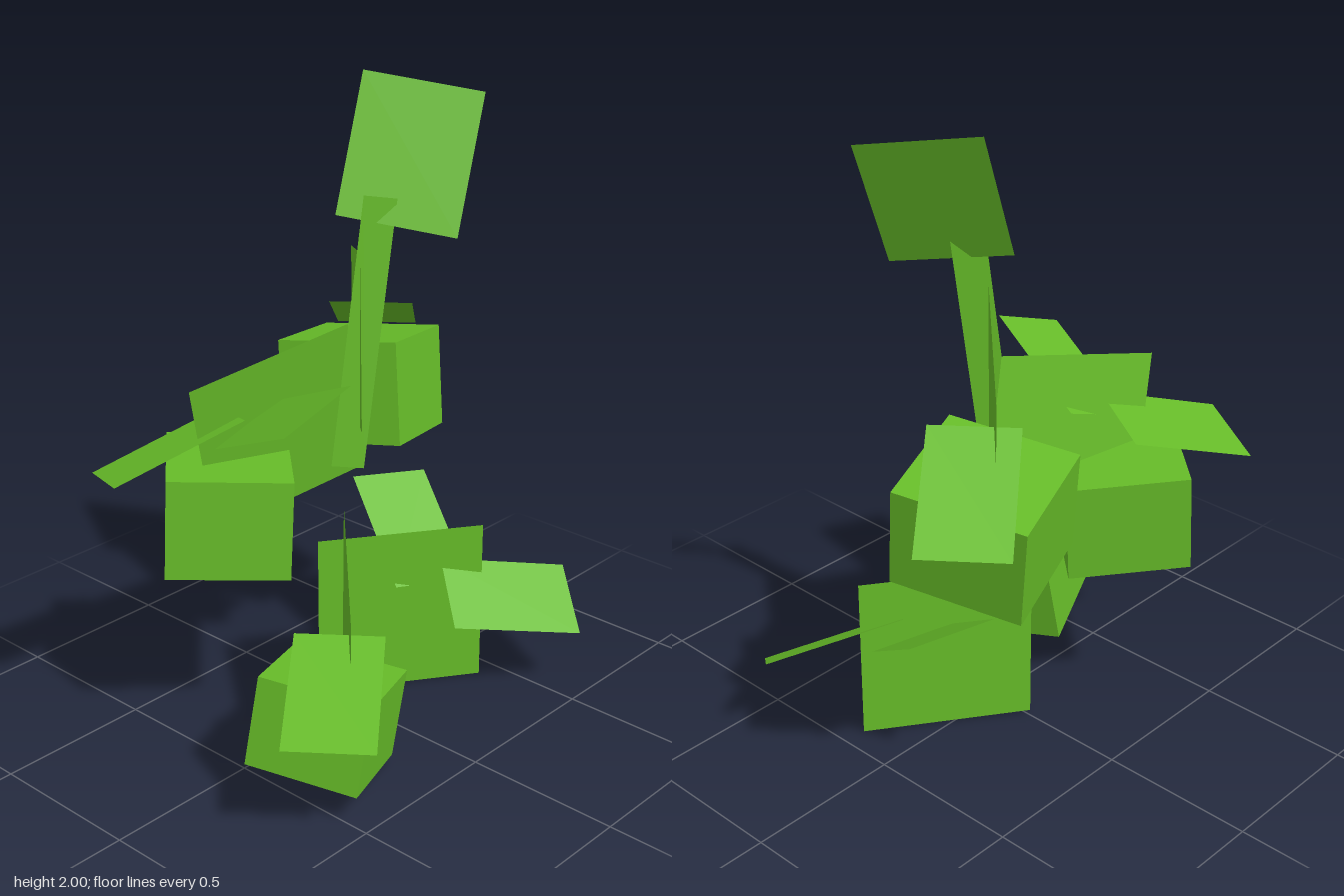
import * as THREE from 'three';

const leafGreen = new THREE.MeshStandardMaterial({ color: 0x66bb28, side: THREE.DoubleSide });
leafGreen.name = 'leafGreen';

const vec = (p) => new THREE.Vector3(...p);

// Flat rectangle from three corners: the middle one joins its two edges
function plate(name, a, corner, b) {
  const u = vec(a).sub(vec(corner));
  const v = vec(b).sub(vec(corner));
  const n = u.clone().cross(v).normalize();
  const centre = vec(a).add(vec(b)).multiplyScalar(0.5);
  const geometry = new THREE.PlaneGeometry(1, 1);
  geometry.applyMatrix4(new THREE.Matrix4().makeBasis(u, v, n).setPosition(centre));
  const mesh = new THREE.Mesh(geometry, leafGreen);
  mesh.name = name;
  return mesh;
}

// Tilted block from three corners of one face and the edge leading away from it
function block(name, a, corner, b, edge) {
  const u = vec(a).sub(vec(corner));
  const v = vec(b).sub(vec(corner));
  const w = vec(edge);
  const centre = vec(a).add(vec(b)).add(w).multiplyScalar(0.5);
  if (u.clone().cross(v).dot(w) < 0) w.negate();
  const geometry = new THREE.BoxGeometry(1, 1, 1);
  geometry.applyMatrix4(new THREE.Matrix4().makeBasis(u, v, w).setPosition(centre));
  const mesh = new THREE.Mesh(geometry, leafGreen);
  mesh.name = name;
  return mesh;
}

export function createModel() {
  const plant = new THREE.Group();
  plant.name = 'plant';

  // Square stalk sections, from the ground up
  const stalks = [
    ['baseStalk', [-0.14, 0.546, 0.02], [-0.14, 0, 0.02], [0.17, 0, -0.426]],
    ['lowerStalk', [0.384, 0.6, 0.437], [0.018, 0.742, 0.07], [-0.08, 0.217, -0.03]],
    ['middleStalk', [-0.235, 1.156, 0.458], [-0.08, 1.27, -0.055], [-0.125, 0.753, -0.183]],
    ['upperStalk', [-0.426, 1.357, -0.448], [-0.05, 1.495, -0.078], [0.04, 0.97, 0.013]],
  ];

  // Narrow stem carrying the top leaf
  const tip = [
    ['topStem', [0.013, 1.653, -0.172], [-0.05, 1.667, -0.093], [-0.075, 0.828, 0.025]],
    ['topLeaf', [0.14, 1.95, -0.416], [-0.177, 2.0, -0.23], [-0.13, 1.6, -0.056]],
  ];

  // Loose leaves around the stalk
  const leaves = [
    ['lowFrontLeaf', [0.347, 0.482, 0.247], [0.607, 0.345, 0.575], [0.394, 0.345, 0.741]],
    ['lowBackLeaf', [0.25, 0.292, -0.195], [0.473, 0.207, -0.563], [0.292, 0.34, -0.705]],
    ['middleBackLeaf', [-0.315, 0.6, -0.336], [-0.217, 0.573, -0.586], [0.113, 0.333, -0.431]],
    ['middleFrontLeaf', [-0.3, 0.912, 0.702], [-0.536, 0.854, 0.59], [-0.387, 0.99, 0.203]],
    ['highFrontLeaf', [0.174, 1.135, 0.48], [0.195, 1.225, 0.23], [-0.19, 1.05, 0.135]],
    ['highBackLeaf', [-0.398, 1.018, -0.745], [-0.607, 1.018, -0.579], [-0.367, 1.22, -0.279]],
  ];

  for (const part of [...stalks, ...tip, ...leaves]) plant.add(plate(...part));

  // Leaf clumps: top face corners and the downward edge
  const clumps = [
    ['lowClump', [0.008, 0.351, 0.263], [0.146, 0.411, 0.575], [0.469, 0.373, 0.442], [-0.011, -0.276, 0.053]],
    ['middleClump', [-0.536, 0.893, 0.287], [-0.233, 0.907, 0.564], [0.018, 0.885, 0.283], [0, -0.313, 0.02]],
    ['highClump', [-0.193, 1.092, -0.622], [-0.572, 1.045, -0.484], [-0.45, 1.108, -0.128], [0.053, -0.324, 0.036]],
  ];
  for (const part of clumps) plant.add(block(...part));

  return plant;
}
